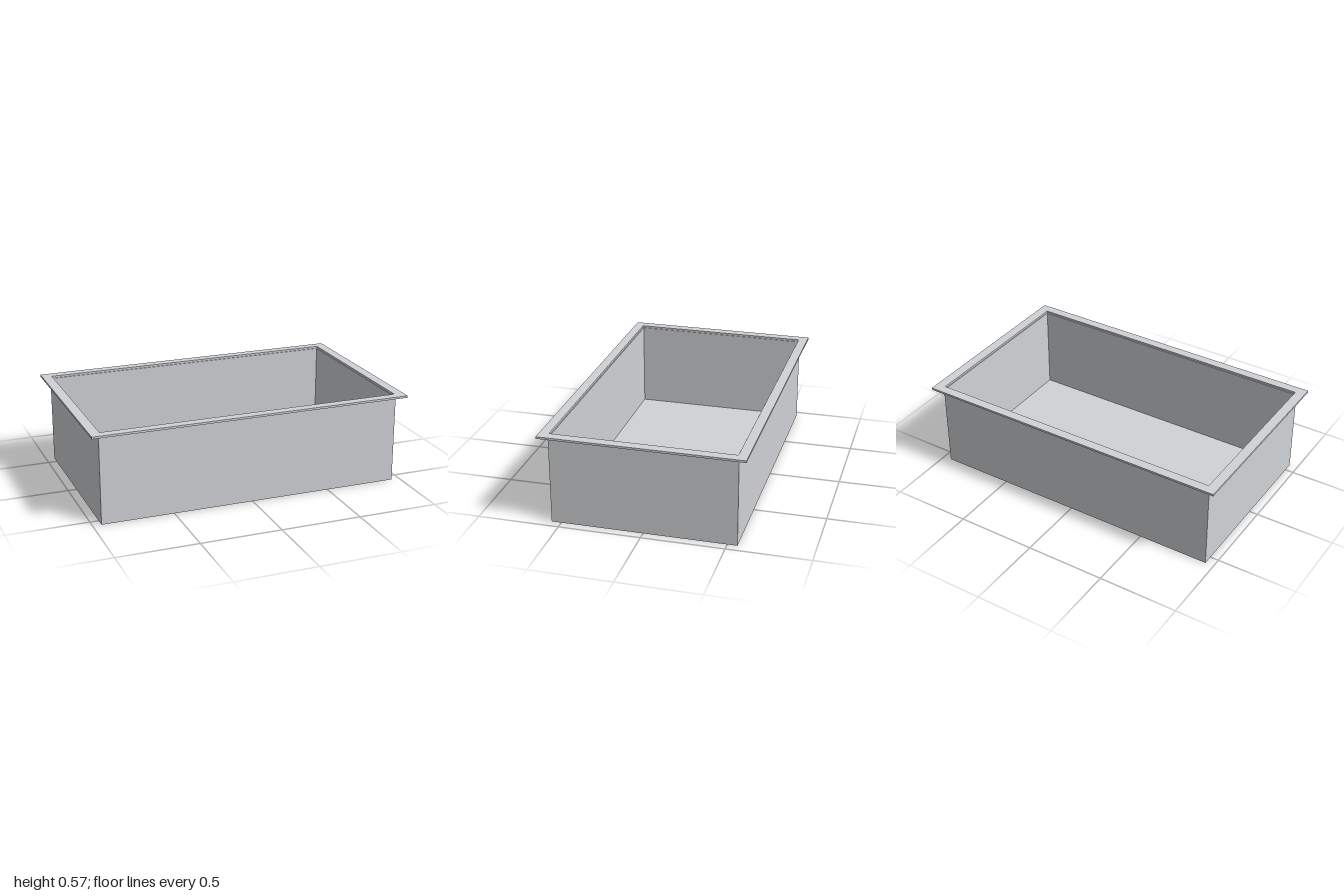
import * as THREE from 'three';

// Rectangular ring standing from y0 to y1, given outer and inner half sizes
function frame(name, outer, inner, y0, y1, material) {
  const corners = ([x, z]) => [[-x, -z], [x, -z], [x, z], [-x, z]].map(p => new THREE.Vector2(...p));
  const shape = new THREE.Shape(corners(outer));
  shape.holes.push(new THREE.Path(corners(inner).reverse()));
  const geometry = new THREE.ExtrudeGeometry(shape, { depth: y1 - y0, bevelEnabled: false });
  geometry.rotateX(-Math.PI / 2);
  const mesh = new THREE.Mesh(geometry, material);
  mesh.name = name;
  mesh.position.y = y0;
  return mesh;
}

export function createModel() {
  const metal = new THREE.MeshStandardMaterial({ color: 0xd0d3d7 });
  metal.name = 'light grey metal';

  const model = new THREE.Group();
  model.name = 'openTray';

  const wallOuter = [0.947, 0.56], wallInner = [0.934, 0.548];
  const rimOuter = [1, 0.612], rimInner = [0.939, 0.554];
  const floorTop = 0.008, wallTop = 0.554, rimTop = 0.567;

  // Floor plate closing the bottom of the walls
  const floor = new THREE.Mesh(
    new THREE.BoxGeometry(2 * wallOuter[0], floorTop, 2 * wallOuter[1]), metal);
  floor.name = 'floor';
  floor.position.y = floorTop / 2;
  model.add(floor);

  // Thin upright walls and the flat overhanging rim
  model.add(frame('walls', wallOuter, wallInner, floorTop, wallTop, metal));
  model.add(frame('rim', rimOuter, rimInner, wallTop, rimTop, metal));

  return model;
}
